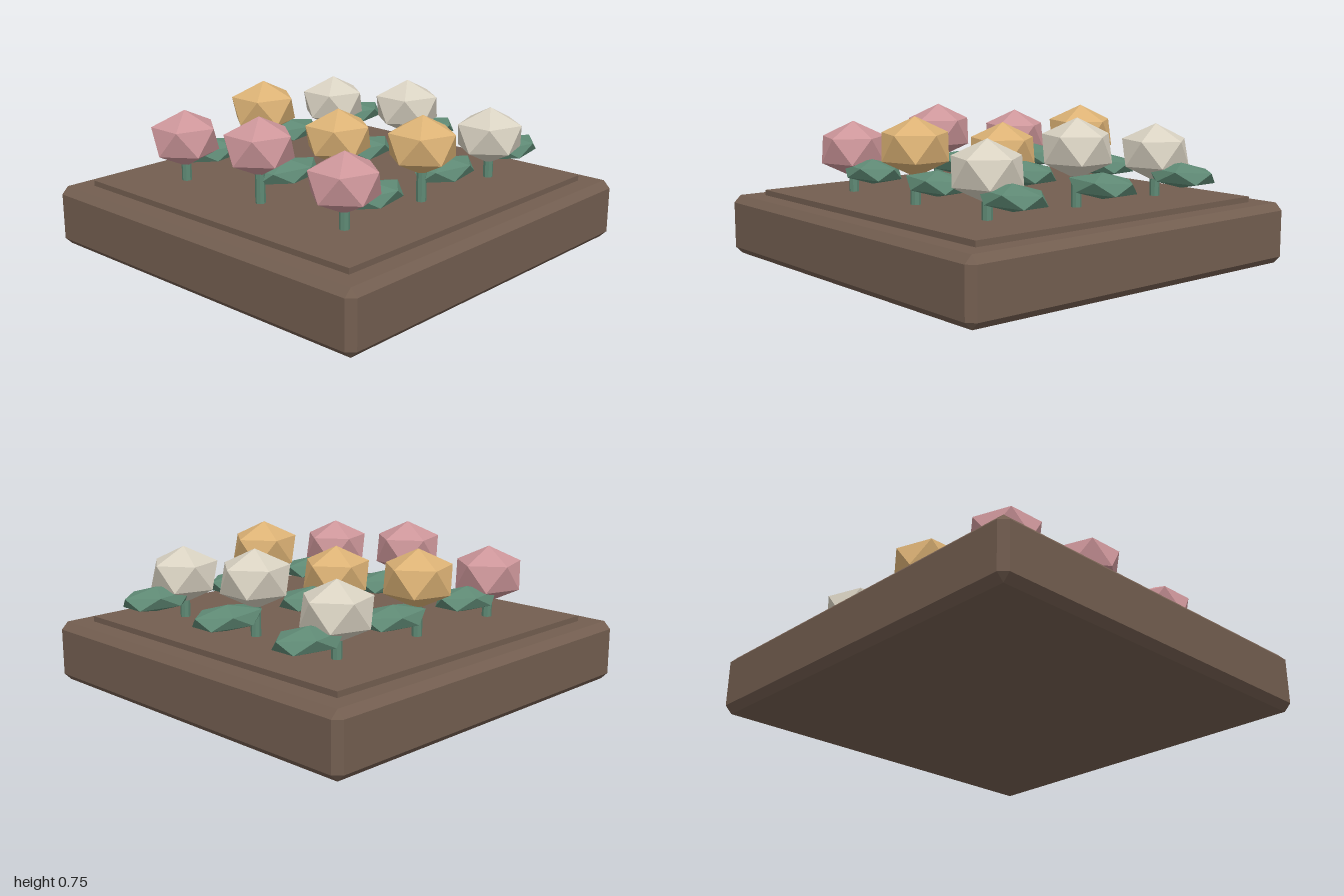
import * as THREE from 'three';
import { ConvexGeometry } from 'three/addons/geometries/ConvexGeometry.js';

function material(name, color) {
  const m = new THREE.MeshStandardMaterial({ color });
  m.name = name;
  return m;
}

function mesh(name, geometry, mat, x = 0, y = 0, z = 0) {
  const m = new THREE.Mesh(geometry, mat);
  m.name = name;
  m.position.set(x, y, z);
  return m;
}

// Box with every edge chamfered by c
function chamferedBox(w, h, d, c) {
  const points = [];
  for (const sx of [-1, 1]) for (const sy of [-1, 1]) for (const sz of [-1, 1]) {
    const [x, y, z] = [w / 2, h / 2, d / 2];
    points.push(
      new THREE.Vector3(sx * x, sy * (y - c), sz * (z - c)),
      new THREE.Vector3(sx * (x - c), sy * y, sz * (z - c)),
      new THREE.Vector3(sx * (x - c), sy * (y - c), sz * z));
  }
  return new ConvexGeometry(points);
}

// Icosahedron standing on a corner, one upper-ring corner towards +x, then scaled
function facetedBlob(rx, ry, rz) {
  const golden = (1 + Math.sqrt(5)) / 2;
  return new THREE.IcosahedronGeometry(1, 0)
    .rotateZ(-Math.atan(1 / golden))
    .scale(rx, ry, rz);
}

// Eight-sided stem with flat sides
function stemGeometry(radius, height) {
  const g = new THREE.CylinderGeometry(radius, radius, height, 8).toNonIndexed();
  g.computeVertexNormals();
  return g;
}

export function createModel() {
  const model = new THREE.Group();
  model.name = 'flowerBed';

  const earth = material('earth brown', 0x735e50);
  const green = material('leaf green', 0x5f8a75);
  const petals = [
    material('rose pink', 0xcd969a),
    material('honey yellow', 0xdcb275),
    material('ivory', 0xd9d2c2),
  ];

  // Planter block and raised soil bed
  model.add(mesh('planter', chamferedBox(2, 0.305, 2, 0.036), earth, 0, 0.1525, 0));
  model.add(mesh('soil', new THREE.BoxGeometry(1.74, 0.05, 1.74), earth, 0, 0.308, 0));

  // Three by three flowers, one colour per column, alternating heights
  const bloom = facetedBlob(0.189, 0.145, 0.184);
  const leaf = facetedBlob(0.212, 0.062, 0.131);
  const spacing = 0.54;
  for (let col = 0; col < 3; col++) {
    for (let row = 0; row < 3; row++) {
      const bloomY = (col + row) % 2 ? 0.61 : 0.55;
      const stemBase = 0.32;
      const flower = new THREE.Group();
      flower.name = 'flower';
      flower.position.set((col - 1) * spacing, 0, (row - 1) * spacing);
      flower.add(
        mesh('stem', stemGeometry(0.025, bloomY - stemBase), green, 0, (bloomY + stemBase) / 2, 0),
        mesh('leaf', leaf, green, 0.173, 0.453, 0),
        mesh('bloom', bloom, petals[col], 0, bloomY, 0));
      model.add(flower);
    }
  }
  return model;
}
